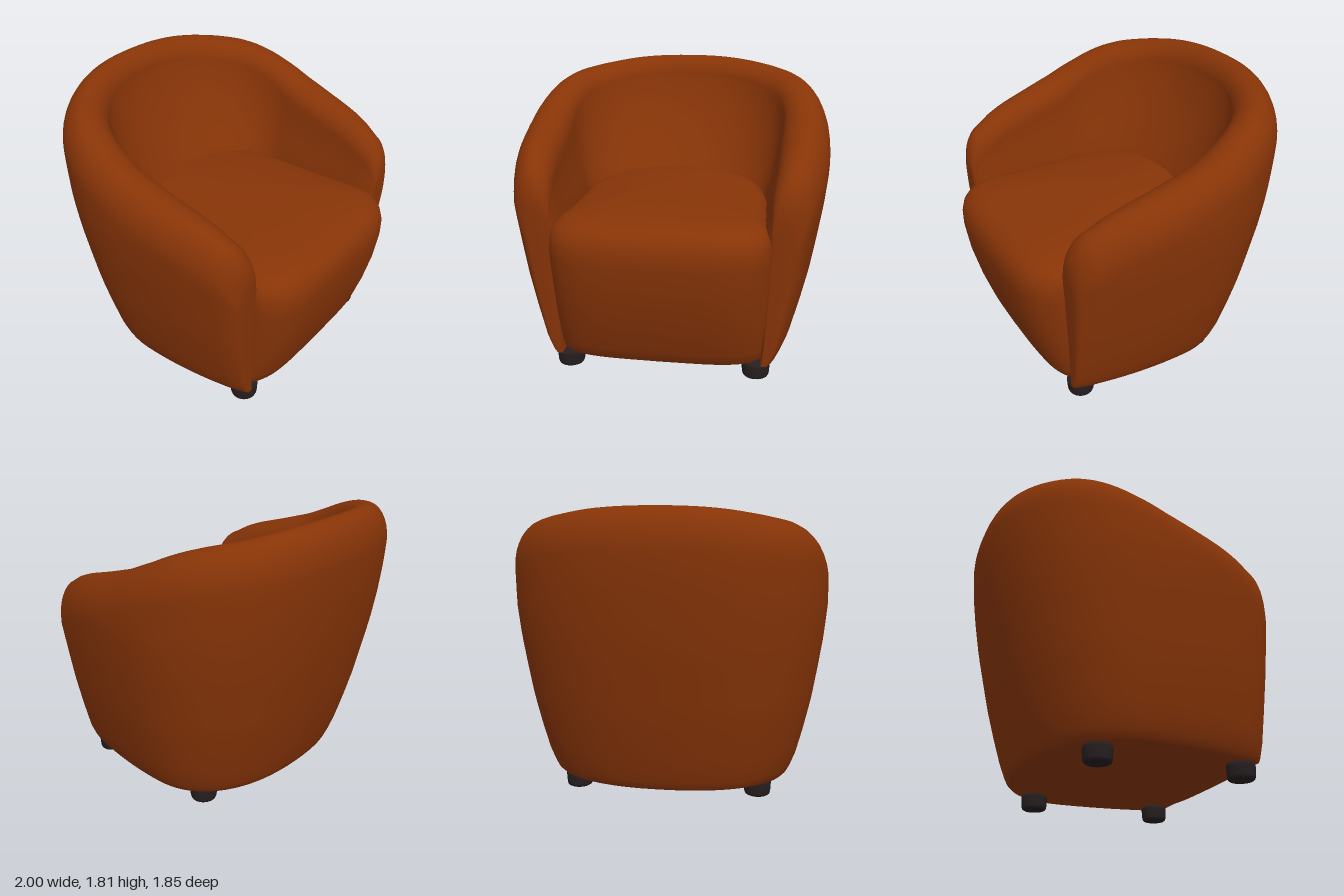
import * as THREE from 'three';

const leather = new THREE.MeshStandardMaterial({ color: 0x873407 });
leather.name = 'rust leather';
const footPaint = new THREE.MeshStandardMaterial({ color: 0x261e1f });
footPaint.name = 'dark foot';

// Piecewise interpolation in a table of [key, value] with rising keys
function lookup(table, k) {
  if (k <= table[0][0]) return table[0][1];
  for (let i = 1; i < table.length; i++) {
    const [k0, v0] = table[i - 1], [k1, v1] = table[i];
    if (k <= k1) return v0 + (v1 - v0) * (k - k0) / (k1 - k0);
  }
  return table[table.length - 1][1];
}

// Smooth skin over rows of [x, y, z] points; wrap joins the last row to the first
function skin(rows, wrap) {
  const n = rows[0].length, index = [];
  const count = wrap ? rows.length : rows.length - 1;
  for (let i = 0; i < count; i++) {
    const a = i * n, b = ((i + 1) % rows.length) * n;
    for (let j = 0; j < n - 1; j++) {
      index.push(a + j, b + j, a + j + 1, b + j, b + j + 1, a + j + 1);
    }
  }
  const g = new THREE.BufferGeometry();
  g.setAttribute('position', new THREE.Float32BufferAttribute(rows.flat(2), 3));
  g.setIndex(index);
  g.computeVertexNormals();
  return g;
}

// Mirrors a half list of rows that ends on the centre line
function mirrorRows(half) {
  const other = half.slice(0, -1).reverse().map(r => r.map(([x, y, z]) => [-x, y, z]));
  return [...half, ...other];
}

// Half width and back reach of the outer wall by height
const outerWidth = [[0.1, 0.76], [0.12, 0.78], [0.2, 0.82], [0.4, 0.872], [0.6, 0.917],
  [0.8, 0.95], [1, 0.98], [1.2, 1]];
const outerBack = [[0.1, 0.585], [0.12, 0.605], [0.2, 0.64], [0.4, 0.7], [0.6, 0.755],
  [0.8, 0.8], [1, 0.845], [1.2, 0.88], [1.4, 0.91], [1.6, 0.925]];
// Height of the rim by z
const rim = [[-0.79, 1.806], [-0.74, 1.789], [-0.68, 1.768], [-0.6, 1.746], [-0.5, 1.722],
  [-0.4, 1.69], [-0.3, 1.65], [-0.2, 1.605], [0, 1.525], [0.2, 1.46], [0.4, 1.4],
  [0.5, 1.36], [0.6, 1.303]];
const bend = -0.05; // z where the straight arms meet the curved back
const tuck = 0.95; // height where the inner wall starts to lean out

// Plan point of a U with half width a and depth b behind the bend
function plan(st, a, b, taper, power) {
  if (st.z !== undefined) {
    const t = (st.z - bend) / 0.78;
    return [a * (1 - taper * t * t), st.z];
  }
  const c = Math.max(0, Math.cos(st.angle)), s = Math.sin(st.angle);
  return [a * c ** power, bend - b * s ** power];
}

const outerAt = (st, y) => plan(st, lookup(outerWidth, y), lookup(outerBack, y) + bend, 0.13, 0.87);

// The inner wall leans out from the seat up to its shoulder
function innerAt(st, y, shoulder) {
  const v = THREE.MathUtils.clamp((y - tuck) / (shoulder - tuck), 0, 1);
  const lean = Math.sin(v * 1.1) / Math.sin(1.1) * (shoulder - tuck) / 0.72;
  return plan(st, 0.61 + 0.14 * lean, 0.28 + 0.36 * lean, 0, 1 - 0.12 * lean);
}

function shellStations() {
  const list = [];
  // Rounded arm front
  for (let i = 8; i > 0; i--) {
    const s = Math.sin(i / 8 * Math.PI / 2), c = Math.max(0, Math.cos(i / 8 * Math.PI / 2));
    list.push({ z: 0.6 + 0.13 * s, k: 0.45 + 0.55 * c ** 0.8, drop: 0.22 * (1 - c) + 0.04 * s });
  }
  // Straight arm
  for (let i = 0; i < 14; i++) list.push({ z: 0.6 + (bend - 0.6) * i / 14, k: 1, drop: 0 });
  // Curved back
  for (let i = 0; i <= 28; i++) list.push({ angle: i / 28 * Math.PI / 2, k: 1, drop: 0 });
  return list;
}

// Cross-section: up the outside, over the rounded rim, down the inside
function shellSection(st) {
  const ridge = plan(st, 0.86, 0.74, 0.13, 0.87);
  const top = lookup(rim, ridge[1]) - st.drop;
  const outRound = 0.23, inRound = 0.15;
  const outShoulder = top - outRound, inShoulder = top - inRound;
  const row = [];
  const add = (y, side, outer, inner) => {
    const t = 0.5 + (side - 0.5) * st.k;
    const lean = st.z > 0 ? (st.z / 0.73) * 0.05 * Math.min(0.2, y - 0.95) : 0;
    row.push([inner[0] + (outer[0] - inner[0]) * t, y, inner[1] + (outer[1] - inner[1]) * t + lean]);
  };
  const level = (y, side) => add(y, side, outerAt(st, y), innerAt(st, y, inShoulder));
  const heights = shoulder => [0.1, 0.12,
    ...Array.from({ length: 16 }, (_, i) => 0.16 + (shoulder - 0.16) * i / 16)];
  heights(outShoulder).forEach(y => level(y, 1));
  const o = outerAt(st, outShoulder), n = innerAt(st, inShoulder, inShoulder);
  for (let i = 0; i <= 16; i++) {
    const a = i / 16 * Math.PI, round = i < 8 ? outRound : inRound;
    add(top - round * (1 - Math.sin(a)), 0.5 + 0.5 * Math.cos(a), o, n);
  }
  heights(inShoulder).reverse().forEach(y => level(y, 0));
  return row;
}

// Seat layers: height, width scale, front z, back scale
const seatLayers = [
  [0.105, 0, 0, 0], [0.105, 0.95, 0.72, 0.93], [0.12, 0.97, 0.745, 0.95], [0.2, 0.98, 0.785, 0.97],
  [0.4, 0.985, 0.85, 1], [0.6, 0.99, 0.9, 1], [0.78, 1, 0.925, 1], [0.86, 1, 0.925, 1],
  [0.92, 0.985, 0.91, 1], [0.96, 0.955, 0.885, 1], [0.99, 0.905, 0.85, 0.99], [1.015, 0.82, 0.8, 0.96],
  [1.04, 0.62, 0.68, 0.88], [1.058, 0.33, 0.36, 0.7], [1.067, 0, 0, 0],
];

function seatGeometry() {
  const outline = new THREE.SplineCurve([
    [0, 0.925], [0.35, 0.915], [0.53, 0.87], [0.63, 0.78], [0.658, 0.68], [0.645, 0.5],
    [0.63, 0.2], [0.62, -0.05], [0.55, -0.33], [0.35, -0.5], [0, -0.56],
  ].map(p => new THREE.Vector2(...p))).getPoints(50);
  const half = outline.map(p => seatLayers.map(([y, sx, zf, zb]) =>
    [p.x * sx, y, p.y > 0 ? p.y * zf / 0.925 : p.y * zb]));
  const rows = mirrorRows(half);
  rows.pop(); // the first row already lies on the centre line
  return skin(rows, true);
}

export function createModel() {
  const chair = new THREE.Group();
  chair.name = 'tubArmchair';
  const add = (name, geometry, material) => {
    const mesh = new THREE.Mesh(geometry, material);
    mesh.name = name;
    chair.add(mesh);
    return mesh;
  };

  // Wraparound arms and back; the arm fronts close along their middle line
  const half = shellStations().map(shellSection);
  const front = half[0];
  half.unshift(front.map((p, j) => p.map((v, i) => (v + front[front.length - 1 - j][i]) / 2)));
  const rows = mirrorRows(half);
  add('armsAndBack', skin(rows, false), leather);

  // Padded seat
  add('seat', seatGeometry(), leather);

  // Flat underside
  const base = new THREE.Shape(rows.map(r => new THREE.Vector2(r[0][0], r[0][2])));
  add('underside', new THREE.ShapeGeometry(base).rotateX(Math.PI / 2), leather).position.y = 0.1;

  // Four round feet
  const footProfile = [[0, 0], [0.068, 0], [0.078, 0.006], [0.083, 0.02], [0.087, 0.08], [0.083, 0.1], [0, 0.11]];
  const foot = new THREE.LatheGeometry(footProfile.map(p => new THREE.Vector2(...p)), 28);
  for (const x of [-0.585, 0.585]) {
    for (const z of [0.6, -0.3]) {
      add(z > 0 ? 'frontFoot' : 'backFoot', foot, footPaint).position.set(x, 0, z);
    }
  }
  return chair;
}
